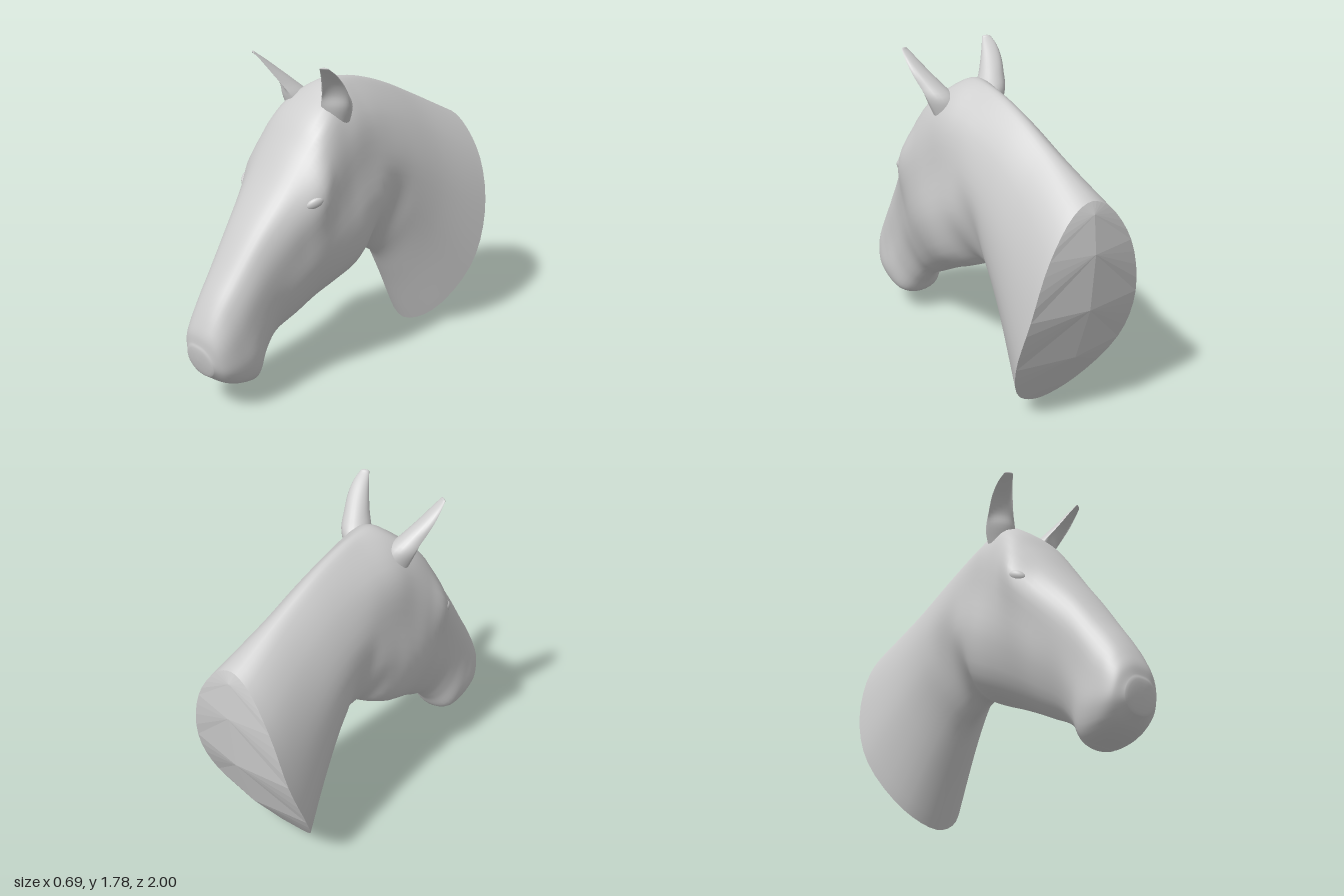
import * as THREE from 'three';

const V = (x, y, z) => new THREE.Vector3(x, y, z);
const grey = (opts = {}) => new THREE.MeshStandardMaterial({ color: 0xcccccc, roughness: 0.8, ...opts });

// Heights (0 = top line, 1 = underside) at which the half widths are given
const LEVELS = [0.04, 0.2, 0.45, 0.7, 0.93];

// Each row: top z, top y, bottom z, bottom y, then five half widths
const NECK = [
  [-0.95, 1.26, -0.59, 0.00, 0.11, 0.25, 0.33, 0.33, 0.18],
  [-0.62, 1.42, -0.42, 0.34, 0.07, 0.19, 0.275, 0.27, 0.14],
  [-0.38, 1.53, -0.31, 0.52, 0.06, 0.175, 0.255, 0.235, 0.11],
  [-0.21, 1.59, -0.22, 0.585, 0.06, 0.18, 0.25, 0.20, 0.09],
];
const HEAD = [
  [-0.06, 1.625, -0.13, 0.63, 0.065, 0.195, 0.25, 0.25, 0.12],
  [0.09, 1.63, -0.05, 0.59, 0.10, 0.22, 0.255, 0.27, 0.175],
  [0.20, 1.56, 0.04, 0.545, 0.16, 0.24, 0.265, 0.28, 0.19],
  [0.30, 1.47, 0.16, 0.49, 0.18, 0.265, 0.28, 0.27, 0.17],
  [0.40, 1.34, 0.28, 0.43, 0.165, 0.295, 0.28, 0.24, 0.135],
  [0.52, 1.17, 0.40, 0.365, 0.15, 0.235, 0.23, 0.20, 0.11],
  [0.68, 0.96, 0.52, 0.30, 0.12, 0.18, 0.185, 0.155, 0.08],
  [0.82, 0.76, 0.60, 0.22, 0.10, 0.16, 0.17, 0.155, 0.09],
  [0.91, 0.63, 0.68, 0.12, 0.09, 0.15, 0.17, 0.17, 0.12],
  [0.965, 0.53, 0.80, 0.13, 0.08, 0.14, 0.165, 0.165, 0.12],
  [0.992, 0.46, 0.89, 0.165, 0.07, 0.12, 0.145, 0.145, 0.10],
  [0.998, 0.40, 0.96, 0.215, 0.05, 0.085, 0.105, 0.10, 0.06],
];
const PER = 4; // samples between two control points of a ring

// Closed smooth ring: top, down the left side, bottom, up the right side
function sectionRing([tz, ty, bz, by, ...w]) {
  const bow = 0.15 * Math.max(0, -tz);
  const at = (x, t) => V(x, ty + (by - ty) * t, tz + (bz - tz) * t - bow * Math.sin(Math.PI * t));
  const left = w.map((x, i) => at(x, LEVELS[i]));
  const right = w.map((x, i) => at(-x, LEVELS[i])).reverse();
  const curve = new THREE.CatmullRomCurve3([at(0, 0), ...left, at(0, 1), ...right], true);
  const n = 12 * PER;
  return Array.from({ length: n }, (_, i) => curve.getPoint(i / n));
}

// Smooth interpolation between rings
function refine(rings, steps) {
  const columns = rings[0].map((_, j) => new THREE.CatmullRomCurve3(rings.map(r => r[j])));
  return Array.from({ length: steps + 1 }, (_, i) => columns.map(c => c.getPoint(i / steps)));
}

// Shrinking rings that close the end of a loft with a rounded tip
function roundEnd(ring, direction, depth) {
  const centre = ring.reduce((s, p) => s.add(p), V(0, 0, 0)).divideScalar(ring.length);
  return [0.3, 0.6, 0.9, 1.2, 1.5, Math.PI / 2].map(a => ring.map(p =>
    p.clone().sub(centre).multiplyScalar(Math.cos(a)).add(centre)
      .addScaledVector(direction, depth * Math.sin(a))));
}

function loft(rings) {
  const n = rings[0].length, index = [];
  for (let i = 0; i < rings.length - 1; i++) {
    for (let j = 0; j < n; j++) {
      const a = i * n + j, b = i * n + (j + 1) % n, c = a + n, d = b + n;
      index.push(a, c, b, b, c, d);
    }
  }
  const g = new THREE.BufferGeometry().setFromPoints(rings.flat());
  g.setIndex(index);
  g.computeVertexNormals();
  return g;
}

// Faceted, bulging cut face at the back of the neck: rim joined to a central ridge
function cutFace(rim) {
  const ridge = [[1.2, -0.975], [1.0, -0.997], [0.69, -0.972], [0.38, -0.87], [0.1, -0.67]]
    .map(([y, z]) => V(0, y, z));
  const hub = s => ridge[THREE.MathUtils.clamp((s <= 6 ? s : 12 - s) - 1, 0, 4)];
  const tris = [];
  for (let s = 0; s < 12; s++) {
    const [near, far] = s < 6 ? [hub(s), hub(s + 1)] : [hub(s + 1), hub(s)];
    for (let k = 0; k < PER; k++) {
      const j = s * PER + k;
      tris.push(rim[j], rim[(j + 1) % rim.length], near);
    }
    if (near !== far && s < 6) tris.push(near, rim[(s + 1) * PER], far);
    if (near !== far && s >= 6) tris.push(near, far, rim[s * PER]);
  }
  const g = new THREE.BufferGeometry().setFromPoints(tris);
  g.computeVertexNormals();
  return g;
}

// Cupped ear; each row: centre x, y, z, half width, back depth, front bulge (negative = hollow)
function earGeometry() {
  const rows = [
    [0.145, 1.44, 0.14, 0.07, 0.09, 0.05],
    [0.175, 1.53, 0.17, 0.082, 0.11, 0.04],
    [0.21, 1.60, 0.215, 0.07, 0.09, -0.01],
    [0.24, 1.67, 0.262, 0.058, 0.058, -0.028],
    [0.258, 1.73, 0.307, 0.042, 0.03, -0.012],
    [0.265, 1.768, 0.343, 0.025, 0.012, 0.004],
  ];
  const across = V(0.86, 0, -0.5), forward = V(0.5, 0, 0.86);
  const rings = rows.map(([x, y, z, w, back, front]) => Array.from({ length: 24 }, (_, i) => {
    const a = i / 24 * Math.PI * 2, s = Math.sin(a);
    return V(x, y, z).addScaledVector(across, w * Math.cos(a)).addScaledVector(forward, s * (s > 0 ? front : back));
  }));
  const fine = refine(rings, 20);
  return loft([...fine, ...roundEnd(fine.at(-1), V(0.1, 0.9, 0.4), 0.01)]);
}

export function createModel() {
  const model = new THREE.Group();
  model.name = 'horseHead';
  const add = (name, geometry, material, parent = model) => {
    const mesh = new THREE.Mesh(geometry, material);
    mesh.name = name;
    parent.add(mesh);
    return mesh;
  };
  const smooth = grey({ side: THREE.DoubleSide });

  // Neck and head as one continuous skin, closed at the muzzle
  const rings = refine([...NECK, ...HEAD].map(sectionRing), 90);
  add('headAndNeck', loft([...rings, ...roundEnd(rings.at(-1), V(0, -0.2, 0.98), 0.014)]), smooth);
  add('neckCutFace', cutFace(rings[0]), grey({ flatShading: true }));

  // Lower lip
  const lip = add('lowerLip', new THREE.SphereGeometry(1, 24, 16), smooth);
  lip.scale.set(0.11, 0.045, 0.06);
  lip.position.set(0, 0.157, 0.715);

  // Ears and eyes, mirrored
  const ear = earGeometry();
  for (const side of [1, -1]) {
    const half = new THREE.Group();
    half.name = side > 0 ? 'leftFeatures' : 'rightFeatures';
    half.scale.x = side;
    model.add(half);
    add('ear', ear, smooth, half);

    const eye = add('eye', new THREE.SphereGeometry(1, 20, 14), smooth, half);
    eye.scale.set(0.022, 0.03, 0.05);
    eye.position.set(0.268, 1.09, 0.415);
    eye.rotation.set(0.5, -0.5, 0);
  }
  return model;
}
